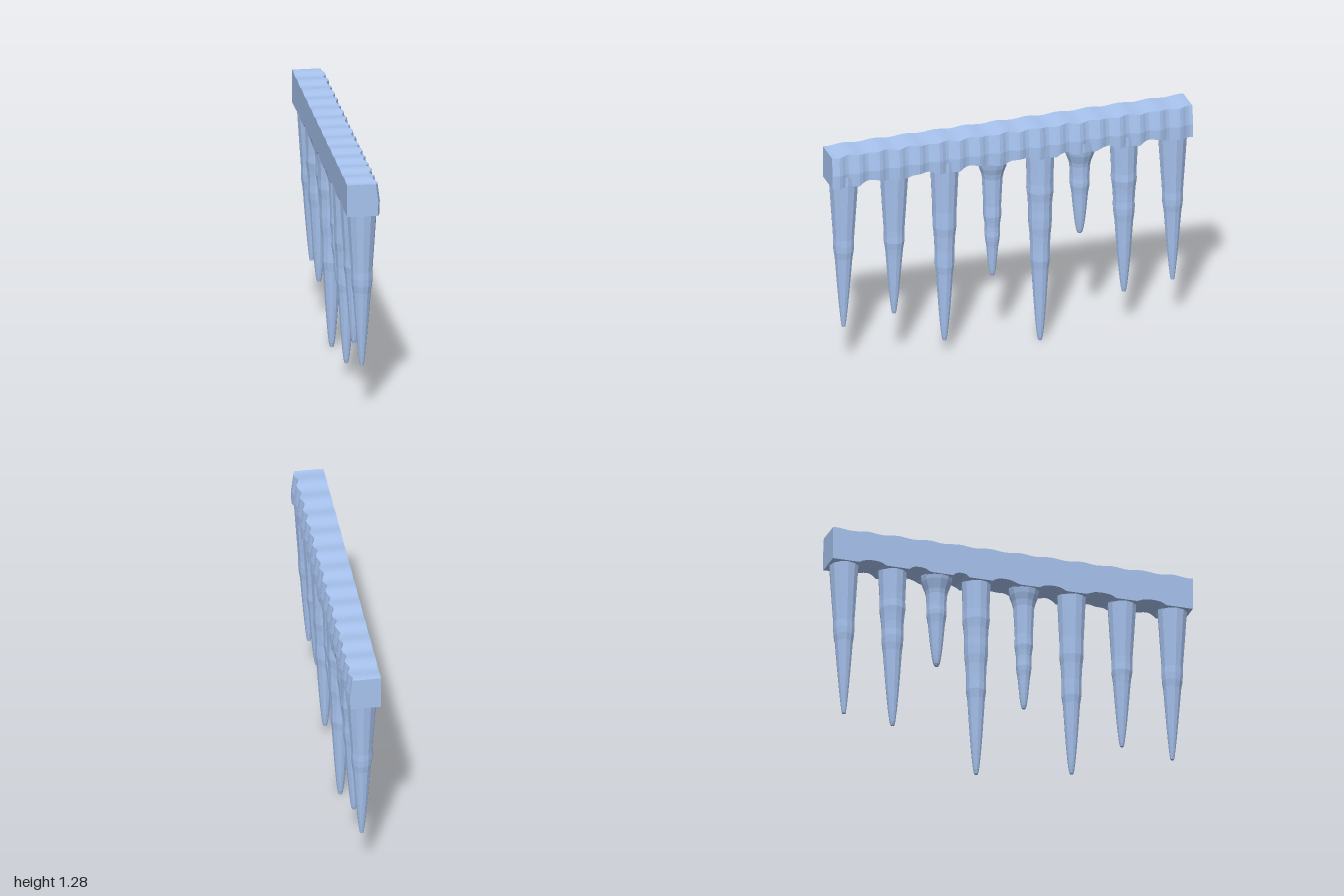
import * as THREE from 'three';

const ice = new THREE.MeshStandardMaterial({ color: 0xa8c4f0, flatShading: true });

const ROOT_Y = 1.1;

// Each icicle tapers from root to tip; rings are heights of small swellings,
// flare widens the collar under the ledge
const ICICLES = [
  { z: 0.915, tip: 0.245, root: 0.079, power: 0.8, rings: [0.71] },
  { z: 0.635, tip: 0.28, root: 0.077, power: 0.73, rings: [0.71] },
  { z: 0.355, tip: 0.08, root: 0.077, power: 0.66, rings: [0.54, 0.77] },
  { z: 0.09, tip: 0.42, root: 0.061, power: 0.6, rings: [0.65, 0.78], flare: 0.022 },
  { z: -0.175, tip: 0, root: 0.078, power: 0.65, rings: [0.49, 0.7, 0.89] },
  { z: -0.395, tip: 0.595, root: 0.063, power: 0.55, rings: [0.89], flare: 0.022 },
  { z: -0.64, tip: 0.215, root: 0.077, power: 0.67, rings: [0.7, 0.88] },
  { z: -0.91, tip: 0.245, root: 0.079, power: 0.8, rings: [0.71] },
];

function icicleGeometry({ tip, root, power, rings, flare = 0 }) {
  const steps = 24;
  const tipRadius = 0.01;
  const points = [new THREE.Vector2(0, tip)];
  for (let i = 0; i <= steps; i++) {
    const t = (i / steps) ** 1.2;
    const y = tip + (ROOT_Y - tip) * t;
    let r = tipRadius + (root - tipRadius) * t ** power;
    for (const h of rings) r += 0.005 * Math.exp(-(((y - h) / 0.035) ** 2));
    r += flare * THREE.MathUtils.smoothstep(y, 1.0, ROOT_Y);
    points.push(new THREE.Vector2(r, y));
  }
  // Straight stub embedded in the ledge
  points.push(new THREE.Vector2(root + flare, 1.15));
  return new THREE.LatheGeometry(points, 12);
}

// Height of the ledge underside: an arch in each gap between neighbours
function underside(z) {
  let y = 1.095;
  for (let i = 1; i < ICICLES.length; i++) {
    const a = ICICLES[i - 1].z, b = ICICLES[i].z;
    const d = (z - (a + b) / 2) / ((a - b) / 2 - 0.067);
    if (Math.abs(d) < 1) y += 0.02 * Math.sqrt(1 - d * d);
  }
  return y;
}

// Cross-section of the ledge at z, counter-clockwise seen from +z
function section(z) {
  const ripple = 0.009 * Math.cos((z * Math.PI * 2) / 0.111 + 2);
  const bottom = underside(z);
  const top = 1.273 + 0.004 * Math.sin(z * 37);
  return [
    [-0.09, bottom, z], [0.077 + ripple, bottom, z], [0.08 + ripple, 1.17, z],
    [0.067 + ripple, top, z], [-0.09, top, z],
  ];
}

function ledgeGeometry() {
  const steps = 108;
  const pos = [];
  const tri = (a, b, c) => pos.push(...a, ...b, ...c);
  const loops = [];
  for (let k = 0; k <= steps; k++) loops.push(section(-1 + (2 * k) / steps));
  for (let k = 0; k < steps; k++) {
    const r = loops[k], s = loops[k + 1];
    for (let i = 0; i < r.length; i++) {
      const j = (i + 1) % r.length;
      tri(r[i], r[j], s[j]);
      tri(r[i], s[j], s[i]);
    }
  }
  // End caps
  const first = loops[0], last = loops[steps];
  for (let i = 1; i < first.length - 1; i++) {
    tri(first[0], first[i + 1], first[i]);
    tri(last[0], last[i], last[i + 1]);
  }
  const geo = new THREE.BufferGeometry();
  geo.setAttribute('position', new THREE.Float32BufferAttribute(pos, 3));
  geo.computeVertexNormals();
  return geo;
}

export function createModel() {
  const model = new THREE.Group();
  model.name = 'icicleRow';

  const ledge = new THREE.Mesh(ledgeGeometry(), ice);
  ledge.name = 'ledge';
  model.add(ledge);

  // Faceted icicles hanging from the ledge
  ICICLES.forEach((spec, i) => {
    const icicle = new THREE.Mesh(icicleGeometry(spec), ice);
    icicle.position.z = spec.z;
    icicle.name = `icicle${i + 1}`;
    model.add(icicle);
  });

  return model;
}
